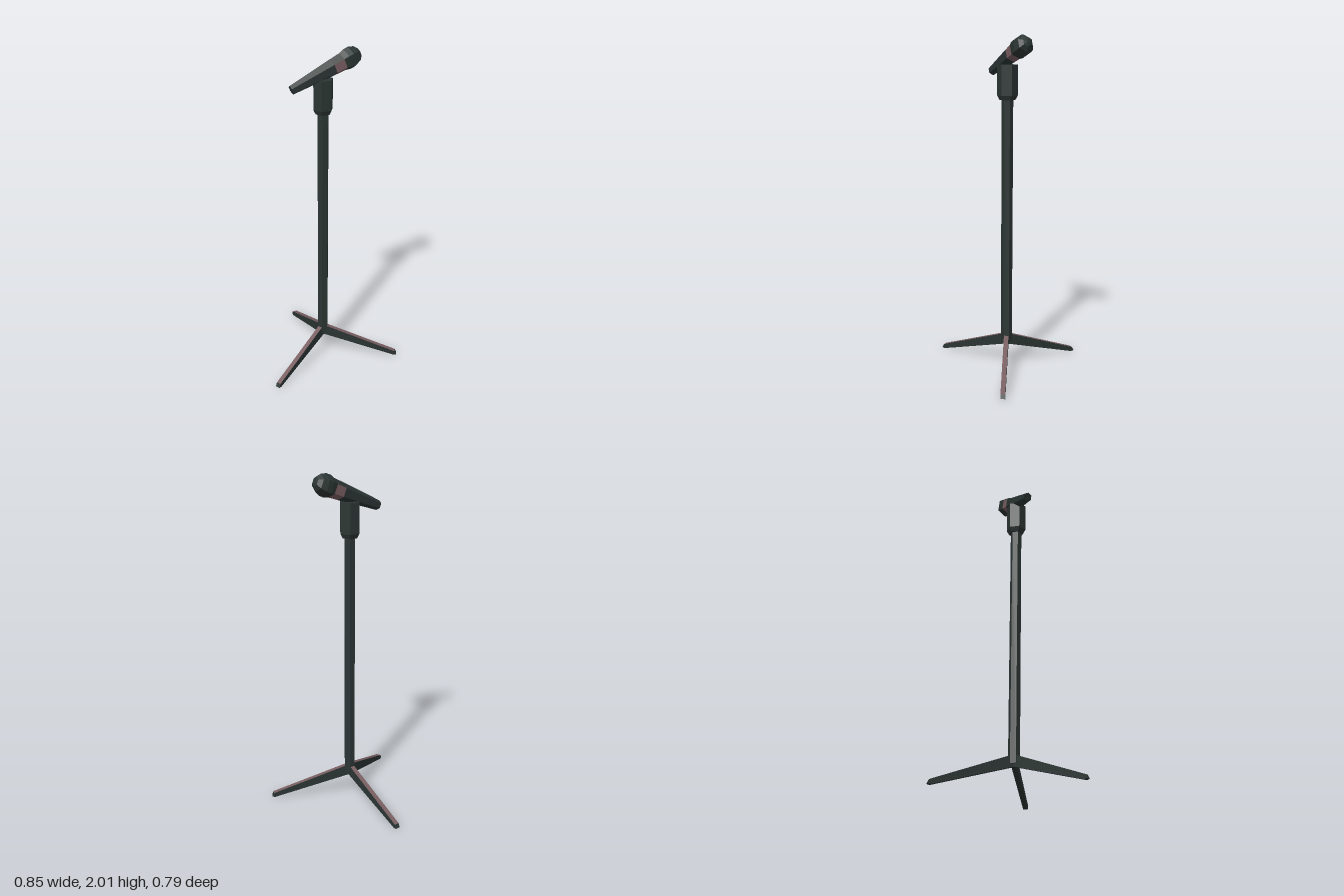
import * as THREE from 'three';

const dark = new THREE.MeshStandardMaterial({ color: 0x2b3533, flatShading: true });
dark.name = 'dark green grey';
const mauve = new THREE.MeshStandardMaterial({ color: 0x775d60, flatShading: true });
mauve.name = 'dusty mauve';

const AXIS = [-0.03, -0.088]; // x and z of the pole

// Splits a geometry into two material groups by testing each face normal
function paintFaces(geometry, isMauve) {
  const g = geometry.index ? geometry.toNonIndexed() : geometry;
  g.clearGroups();
  const p = g.attributes.position;
  const tri = new THREE.Triangle();
  const n = new THREE.Vector3();
  for (let i = 0; i < p.count; i += 3) {
    tri.setFromAttributeAndIndices(p, i, i + 1, i + 2).getNormal(n);
    g.addGroup(i, 3, isMauve(n) ? 1 : 0);
  }
  return g;
}

function add(parent, name, geometry, material = dark) {
  const mesh = new THREE.Mesh(geometry, material);
  mesh.name = name;
  parent.add(mesh);
  return mesh;
}

// Six-sided turned shape from [radius, height] pairs
function turned(points) {
  return new THREE.LatheGeometry(points.map(([r, y]) => new THREE.Vector2(r, y)), 6);
}

export function createModel() {
  const model = new THREE.Group();
  model.name = 'microphoneStand';

  const stand = new THREE.Group();
  stand.name = 'stand';
  stand.position.set(AXIS[0], 0, AXIS[1]);
  model.add(stand);

  // Pole and the thicker grip at its top
  const twist = THREE.MathUtils.degToRad(20);
  add(stand, 'pole', turned([[0, 0.155], [0.034, 0.155], [0.034, 1.66], [0, 1.66]])).rotation.y = twist;
  add(stand, 'grip', turned([[0, 1.643], [0.046, 1.643], [0.06, 1.67], [0.06, 1.845], [0, 1.845]])).rotation.y = twist;

  // Three tapering legs with mauve tops
  const side = new THREE.Shape([
    [0, 0.14], [0.47, 0], [0.488, 0.004], [0.477, 0.027], [0, 0.21],
  ].map(([x, y]) => new THREE.Vector2(x, y)));
  const legGeometry = paintFaces(
    new THREE.ExtrudeGeometry(side, { depth: 0.028, bevelEnabled: false }).translate(0, 0, -0.014),
    (n) => n.y > 0.8,
  );
  for (let i = 0; i < 3; i++) {
    const leg = add(stand, 'leg' + (i + 1), legGeometry, [dark, mauve]);
    leg.rotation.y = THREE.MathUtils.degToRad(22.3 + i * 120);
  }

  // Microphone: built along y from its tail, then tilted and turned
  const mic = new THREE.Group();
  mic.name = 'microphone';
  mic.rotation.order = 'YXZ';
  mic.rotation.set(THREE.MathUtils.degToRad(68), Math.atan2(0.22, -0.285), 0);
  mic.position.set(-0.15, 1.803, 0.065);
  model.add(mic);

  add(mic, 'handle', turned([[0, 0], [0.028, 0], [0.05, 0.275]]));
  // Collar keeps its two upper faces dark
  add(mic, 'collar', paintFaces(turned([[0.05, 0.275], [0.054, 0.34]]), (n) => n.z > -0.5), [dark, mauve]);
  add(mic, 'head', turned([
    [0.054, 0.34], [0.063, 0.37], [0.063, 0.4], [0.05, 0.432], [0.026, 0.452], [0, 0.456],
  ]));

  return model;
}
